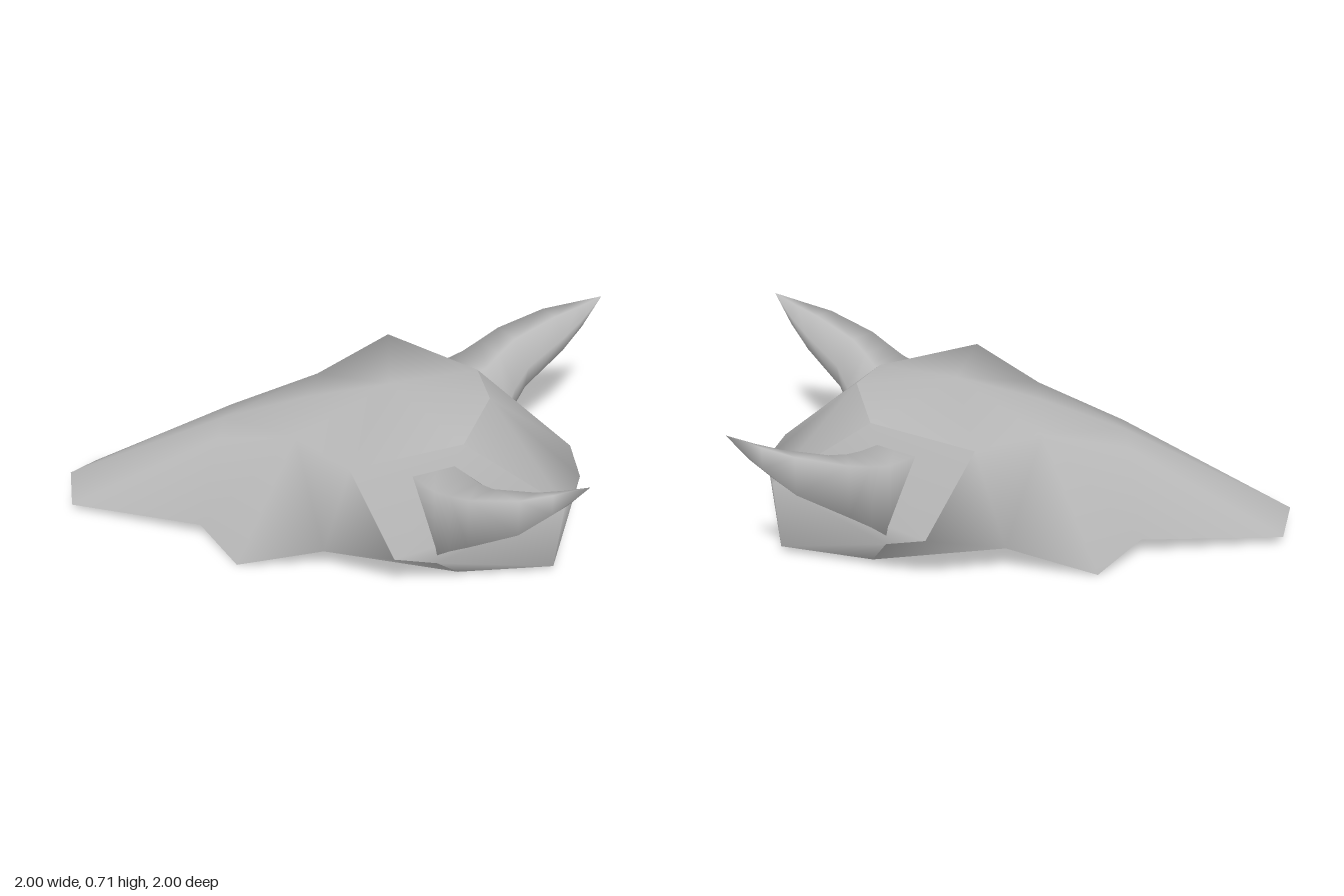
import * as THREE from 'three';
import { toCreasedNormals } from 'three/addons/utils/BufferGeometryUtils.js';

// The skull is a hollow shell, open underneath
const bone = new THREE.MeshStandardMaterial({ color: 0xb8b8b8, side: THREE.DoubleSide });
bone.name = 'bone';

// Landmarks of the left half: x outward, y up, z towards the snout
const P = {
  tipMid: [0, 0.08, 1.315], tip: [0.152, 0.036, 1.265],
  noseMid: [0, 0.42, 0.65], nose: [0.12, 0.4, 0.65],
  foreheadMid: [0, 0.545, 0.32], socket: [0.223, 0.51, 0.32],
  apex: [0, 0.635, 0], brow: [0.47, 0.565, 0.074],
  crownMid: [0, 0.605, -0.38], crown: [0.255, 0.565, -0.31],
  backMid: [0, 0.28, -0.74], back: [0.2, 0.28, -0.693],
  napeMid: [0, 0.03, -0.69], nape: [0.25, 0.03, -0.667],
  base: [0.33, 0.025, -0.31], flank: [0.488, 0.19, -0.247],
  temple: [0.562, 0.25, -0.1], cheek: [0.403, 0.125, 0.19],
  jaw: [0.382, 0, 0.537], lip: [0.265, 0.085, 0.704],
  palateMid: [0, 0.275, 0.42], palate: [0.265, 0.24, 0.42],
  palateSideMid: [0, 0.17, 0.66], palateSide: [0.205, 0.15, 0.66],
  palateTipMid: [0, 0.045, 1.29],
};

// Smooth plates of the skull, with hard edges between them
const PLATES = {
  face: [
    'tipMid tip nose noseMid', 'noseMid nose socket foreheadMid',
    'apex foreheadMid socket brow', 'apex brow crown crownMid',
    'tip lip nose', 'nose lip socket', 'lip jaw socket', 'jaw cheek socket',
    'socket cheek brow', 'brow cheek temple', 'cheek base temple', 'temple base flank',
  ],
  cheekSide: [
    'brow temple crown', 'crown temple back', 'temple flank back',
    'flank nape back', 'flank base nape',
  ],
  backOfSkull: ['crownMid crown back backMid', 'backMid back nape napeMid'],
  palate: [
    'palateMid palate palateSide palateSideMid',
    'palateSideMid palateSide tip palateTipMid',
  ],
};

function makeGeometry(positions) {
  const g = new THREE.BufferGeometry();
  g.setAttribute('position', new THREE.Float32BufferAttribute(positions, 3));
  return toCreasedNormals(g, Math.PI);
}

// Each face is written once and mirrored with its corners reversed
function plateGeometry(faces) {
  const out = [];
  for (const face of faces) {
    const c = face.split(' ').map((name) => P[name]);
    for (let i = 1; i < c.length - 1; i++) {
      const tri = [c[0], c[i], c[i + 1]];
      for (const p of tri) out.push(...p);
      for (const p of [...tri].reverse()) out.push(-p[0], p[1], p[2]);
    }
  }
  return makeGeometry(out);
}

// Five-sided horn, swept along its own x axis: [x, y, z, radius]
const HORN = [
  [0.31, 0.345, 0.03, 0.158], [0.5, 0.362, 0.035, 0.153], [0.58, 0.41, 0.052, 0.128],
  [0.67, 0.462, 0.06, 0.108], [0.84, 0.558, 0.01, 0.077], [0.92, 0.627, -0.037, 0.043],
  [1.0, 0.71, -0.085, 0.0005],
];
// Corners of the section as [z, y], flat towards the front
const SECTION = [[0.92, 0.95], [0.87, -1], [-0.8, -0.8], [-0.93, 0.1], [-0.1, 0.95]];

function hornGeometry(side) {
  // The horn leaves the skull 45 degrees backwards
  const rings = HORN.map(([x, y, z, r]) => SECTION.map(([dz, dy]) => {
    const depth = z + dz * r;
    return [side * (x + depth) * Math.SQRT1_2, y + dy * r, (depth - x) * Math.SQRT1_2];
  }));
  const out = [];
  for (let i = 0; i < rings.length - 1; i++) {
    for (let j = 0; j < SECTION.length; j++) {
      const n = (j + 1) % SECTION.length;
      const [a, b, c, d] = [rings[i][j], rings[i][n], rings[i + 1][n], rings[i + 1][j]];
      const corners = [a, b, c, a, c, d];
      if (side > 0) corners.reverse();
      for (const p of corners) out.push(...p);
    }
  }
  return makeGeometry(out);
}

export function createModel() {
  const model = new THREE.Group();
  model.name = 'hornedSkull';
  const add = (name, geometry) => {
    const mesh = new THREE.Mesh(geometry, bone);
    mesh.name = name;
    model.add(mesh);
  };
  for (const [name, faces] of Object.entries(PLATES)) add(name, plateGeometry(faces));
  add('leftHorn', hornGeometry(1));
  add('rightHorn', hornGeometry(-1));
  // The snout points diagonally, to the front and right
  model.rotation.y = -Math.PI / 4;
  return model;
}
